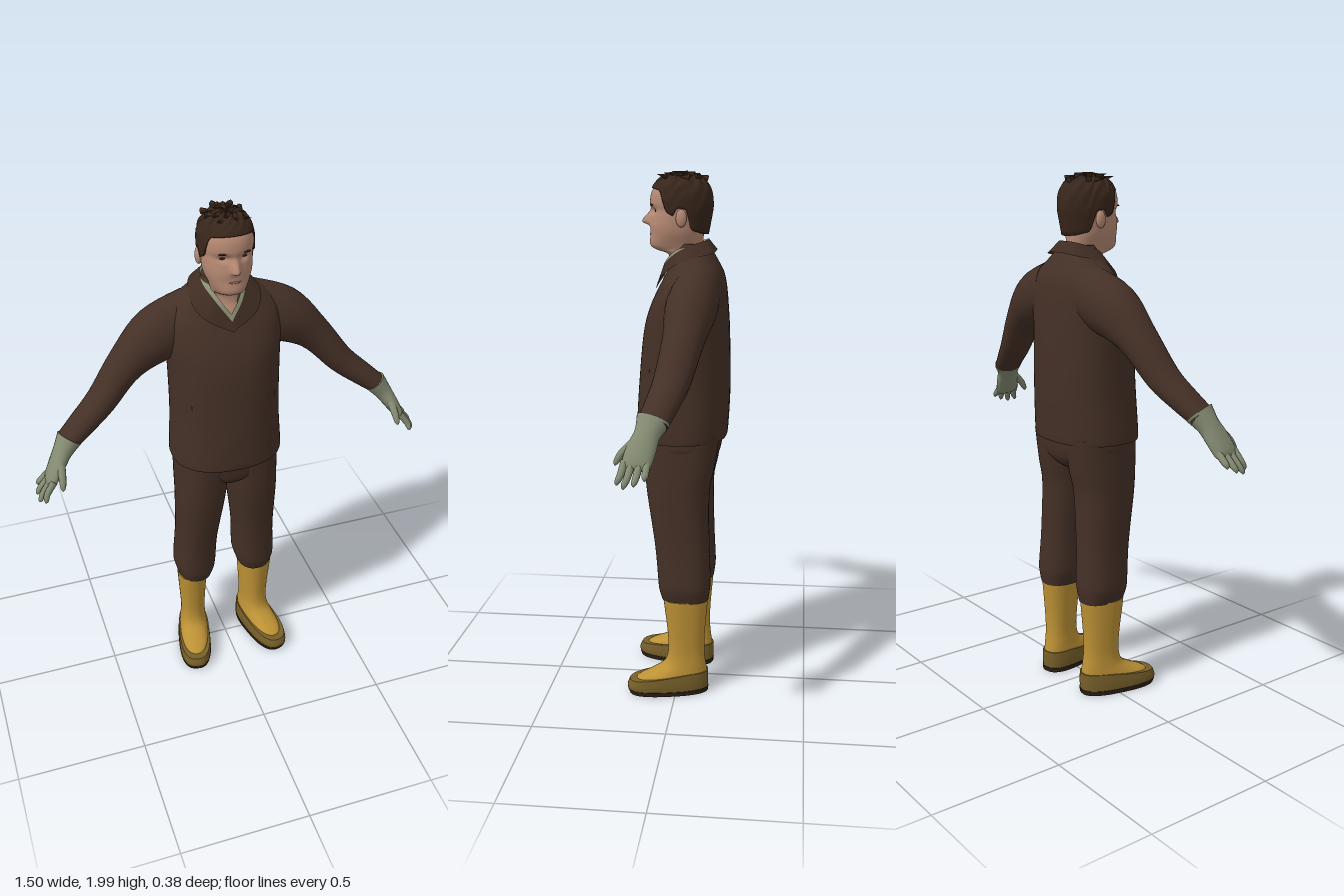
import * as THREE from 'three';

const mat = (name, color, side = THREE.FrontSide) => {
  const m = new THREE.MeshStandardMaterial({ color, side });
  m.name = name;
  return m;
};
const V = (x, y, z) => new THREE.Vector3(x, y, z);
const spow = (c, e) => Math.sign(c) * Math.abs(c) ** e;

// Catmull-Rom smoothing of rows of numbers
function smooth(rows, k) {
  const out = [], at = i => rows[Math.min(rows.length - 1, Math.max(0, i))];
  for (let i = 0; i < rows.length - 1; i++) {
    for (let s = 0; s < k; s++) {
      const t = s / k;
      out.push(rows[i].map((b, c) => {
        const a = at(i - 1)[c], d = at(i + 1)[c], e = at(i + 2)[c];
        return b + 0.5 * t * (d - a + t * (2 * a - 5 * b + 4 * d - e + t * (3 * (b - d) + e - a)));
      }));
    }
  }
  out.push(rows[rows.length - 1]);
  return out;
}

// Skin over closed rings of points, capped at both ends, facing outwards
function loft(rings) {
  const n = rings[0].length, pos = [], idx = [];
  rings.forEach(r => r.forEach(p => pos.push(p.x, p.y, p.z)));
  for (let i = 0; i < rings.length - 1; i++) {
    for (let j = 0; j < n; j++) {
      const a = i * n + j, b = i * n + (j + 1) % n;
      idx.push(a, a + n, b, b, a + n, b + n);
    }
  }
  [rings[0], rings[rings.length - 1]].forEach((r, end) => {
    const base = pos.length / 3, c = V(0, 0, 0);
    r.forEach(p => { pos.push(p.x, p.y, p.z); c.addScaledVector(p, 1 / n); });
    pos.push(c.x, c.y, c.z);
    for (let j = 0; j < n; j++) {
      const a = base + j, b = base + (j + 1) % n;
      if (end) idx.push(a, base + n, b); else idx.push(a, b, base + n);
    }
  });
  const P = i => V(pos[3 * i], pos[3 * i + 1], pos[3 * i + 2]);
  let vol = 0;
  for (let i = 0; i < idx.length; i += 3) vol += P(idx[i]).dot(P(idx[i + 1]).cross(P(idx[i + 2])));
  if (vol < 0) idx.reverse();
  const g = new THREE.BufferGeometry();
  g.setAttribute('position', new THREE.Float32BufferAttribute(pos, 3));
  g.setIndex(idx);
  g.computeVertexNormals();
  return g;
}

// Upright form: rows of [y, x0, x1, zBack, zFront], rule may move each point
function upright(rows, { n = 40, k = 4, p = 2.3, rule } = {}) {
  return loft(smooth(rows, k).map(([y, x0, x1, zb, zf]) => Array.from({ length: n }, (_, j) => {
    const a = j / n * Math.PI * 2;
    const q = V((x0 + x1) / 2 + (x1 - x0) / 2 * spow(Math.cos(a), 2 / p), y,
      (zb + zf) / 2 + (zf - zb) / 2 * spow(Math.sin(a), 2 / p));
    if (rule) rule(q);
    return q;
  })));
}
const sym = rows => rows.map(([y, rx, zb, zf]) => [y, -rx, rx, zb, zf]);

// Limb along a path: rows of [x, y, z, halfHeight, halfDepth]
function limb(rows, n = 28, k = 5) {
  const r = smooth(rows, k), c = r.map(q => V(q[0], q[1], q[2]));
  return loft(r.map((q, i) => {
    const t = c[Math.min(i + 1, c.length - 1)].clone().sub(c[Math.max(i - 1, 0)]).normalize();
    const u = t.clone().cross(V(0, 0, 1)).normalize(), v = u.clone().cross(t);
    return Array.from({ length: n }, (_, j) => {
      const a = j / n * Math.PI * 2;
      return c[i].clone().addScaledVector(u, q[3] * Math.cos(a)).addScaledVector(v, q[4] * Math.sin(a));
    });
  }));
}

// Band around the neck between two half outlines running front to back
function band(inner, outer) {
  const full = h => new THREE.CatmullRomCurve3([...h.map(q => V(...q)),
    ...h.slice(0, -1).reverse().map(q => V(-q[0], q[1], q[2]))]).getPoints(48);
  const a = full(inner), b = full(outer), pos = [], idx = [];
  a.forEach((q, i) => {
    pos.push(...q.toArray(), ...b[i].toArray());
    if (i < 48) idx.push(2 * i, 2 * i + 2, 2 * i + 1, 2 * i + 1, 2 * i + 2, 2 * i + 3);
  });
  const g = new THREE.BufferGeometry();
  g.setAttribute('position', new THREE.Float32BufferAttribute(pos, 3));
  g.setIndex(idx);
  g.computeVertexNormals();
  return g;
}
const blob = (x, y, z, sx, sy, sz) => new THREE.SphereGeometry(1, 16, 12).scale(sx, sy, sz).translate(x, y, z);

export function createModel() {
  const root = new THREE.Group();
  root.name = 'worker';
  const cloth = mat('brown cloth', 0x443026), collarCloth = mat('collar cloth', 0x3f2c22, THREE.DoubleSide);
  const skin = mat('skin', 0xb78a74), hair = mat('hair', 0x38261b), lip = mat('lips', 0x98675a);
  const glove = mat('glove green', 0x848b72), shirt = mat('shirt green', 0x8a8f74, THREE.DoubleSide);
  const boot = mat('boot yellow', 0xbc9135), foot = mat('boot olive', 0x765f29), dark = mat('dark brown', 0x2b1f17);
  const add = (name, g, m) => {
    const mesh = new THREE.Mesh(g, m);
    mesh.name = name;
    root.add(mesh);
  };
  const pair = (name, g, m) => {
    add('left ' + name, g, m);
    const r = g.clone().scale(-1, 1, 1);
    r.setIndex(Array.from(g.index.array).reverse());
    r.computeVertexNormals();
    add('right ' + name, r, m);
  };

  // Jacket
  add('jacket', upright(sym([[1.01, 0.213, -0.178, 0.163], [1.04, 0.214, -0.183, 0.165], [1.2, 0.205, -0.19, 0.156],
    [1.4, 0.208, -0.186, 0.137], [1.5, 0.215, -0.18, 0.112], [1.58, 0.215, -0.172, 0.075], [1.63, 0.185, -0.16, 0.048],
    [1.67, 0.14, -0.14, 0.034], [1.71, 0.092, -0.118, 0.015], [1.735, 0.075, -0.105, 0]]), { n: 56 }), cloth);
  pair('sleeve', limb([[0.1, 1.565, -0.075, 0.11, 0.085], [0.24, 1.515, -0.062, 0.104, 0.092],
    [0.36, 1.425, -0.048, 0.068, 0.074], [0.465, 1.305, -0.022, 0.053, 0.065], [0.55, 1.235, 0.005, 0.045, 0.058],
    [0.612, 1.188, 0.027, 0.038, 0.054]]), cloth);
  pair('pocket', new THREE.BoxGeometry(0.006, 0.1, 0.006).rotateZ(-0.25).rotateY(0.7).translate(0.15, 1.24, 0.103), dark);
  const collarEdge = [[0, 1.6, 0.08], [0.05, 1.67, 0.048], [0.08, 1.72, -0.02], [0.06, 1.745, -0.09], [0, 1.75, -0.105]];
  add('jacket collar', band(collarEdge, [[0, 1.565, 0.094], [0.1, 1.62, 0.06], [0.13, 1.672, -0.01],
    [0.088, 1.702, -0.122], [0, 1.71, -0.135]]), collarCloth);
  add('shirt collar', band([[0, 1.625, 0.07], [0.028, 1.665, 0.056], [0.058, 1.712, 0.01], [0.055, 1.73, -0.082],
    [0, 1.735, -0.094]], collarEdge), shirt);

  // Trousers
  add('trouser seat', upright(sym([[1.04, 0.197, -0.165, 0.132], [0.97, 0.197, -0.158, 0.126],
    [0.92, 0.12, -0.135, 0.115], [0.87, 0.025, -0.06, 0.06]])), cloth);
  pair('trouser leg', upright([[1.03, -0.01, 0.198, -0.16, 0.13], [0.9, 0, 0.2, -0.14, 0.124], [0.8, 0.012, 0.2, -0.122, 0.115],
    [0.6, 0.038, 0.2, -0.124, 0.085], [0.46, 0.044, 0.209, -0.13, 0.072], [0.42, 0.05, 0.206, -0.128, 0.068],
    [0.38, 0.062, 0.195, -0.122, 0.056]], { p: 2.4 }), cloth);

  // Boots, turned slightly outwards
  const place = g => g.rotateY(0.215).translate(0.135, 0, -0.04);
  pair('boot', place(upright(sym([[0.385, 0.061, -0.08, 0.09], [0.37, 0.061, -0.08, 0.09], [0.25, 0.054, -0.07, 0.076],
    [0.17, 0.05, -0.068, 0.073], [0.12, 0.053, -0.073, 0.088], [0.09, 0.057, -0.078, 0.135],
    [0.065, 0.06, -0.08, 0.19], [0.03, 0.062, -0.08, 0.22]]))), boot);
  pair('boot foot', place(upright(sym([[0.015, 0.066, -0.083, 0.23], [0.04, 0.067, -0.084, 0.234], [0.07, 0.064, -0.083, 0.224]]), {
    p: 2.6, rule: q => { q.y *= 1.22 - 1.9 * Math.max(0, q.z); },
  })), foot);
  pair('boot sole', place(upright(sym([[0, 0.066, -0.083, 0.226], [0.018, 0.068, -0.085, 0.233]]), { p: 2.6, k: 1 })), dark);

  // Gloves
  pair('glove', limb([[0.6, 1.2, 0.024, 0.044, 0.059], [0.632, 1.158, 0.04, 0.034, 0.045], [0.658, 1.118, 0.055, 0.028, 0.05],
    [0.684, 1.076, 0.068, 0.022, 0.05], [0.698, 1.056, 0.072, 0.013, 0.042]], 20), glove);
  [[0.108, 0.722, 1.008, 0.128], [0.083, 0.739, 1, 0.104], [0.058, 0.742, 1.01, 0.07], [0.034, 0.733, 1.027, 0.036]].forEach(([z, x, y, tz], i) => {
    pair('finger ' + (i + 1), limb([[0.682, 1.08, z, 0.013, 0.013], [(0.692 + x) / 2 + 0.006, (1.07 + y) / 2, (z + tz) / 2, 0.012, 0.012],
      [x - 0.002, y + 0.01, tz, 0.009, 0.009], [x, y, tz, 0.002, 0.002]], 10, 3), glove);
  });
  pair('thumb', limb([[0.648, 1.135, 0.082, 0.016, 0.016], [0.653, 1.1, 0.12, 0.014, 0.014],
    [0.657, 1.07, 0.14, 0.01, 0.01], [0.659, 1.058, 0.144, 0.002, 0.002]], 10, 3), glove);

  // Head with nose, brow and eye sockets
  const bump = (v, c, w) => Math.exp(-(((v - c) / w) ** 2));
  add('head', upright(sym([[1.6, 0.05, -0.07, 0.066], [1.63, 0.058, -0.08, 0.056], [1.66, 0.062, -0.085, 0.043],
    [1.695, 0.062, -0.085, 0.046], [1.712, 0.058, -0.084, 0.092], [1.73, 0.064, -0.084, 0.113], [1.77, 0.08, -0.086, 0.111],
    [1.8, 0.086, -0.09, 0.112], [1.83, 0.089, -0.1, 0.108], [1.855, 0.09, -0.104, 0.104], [1.88, 0.092, -0.106, 0.112],
    [1.92, 0.09, -0.105, 0.106], [1.955, 0.072, -0.085, 0.082], [1.975, 0.035, -0.045, 0.045]]), {
    n: 96, k: 6, p: 2.2, rule: q => {
      if (q.z < 0.03) return;
      q.z += 0.033 * bump(q.x, 0, 0.014) * bump(q.y, 1.812, q.y < 1.812 ? 0.01 : 0.036);
      q.z -= 0.01 * bump(Math.abs(q.x), 0.036, 0.016) * bump(q.y, 1.853, 0.011);
    },
  }), skin);
  pair('ear', blob(0.093, 1.828, -0.012, 0.012, 0.032, 0.02), skin);
  pair('eye', blob(0.036, 1.853, 0.085, 0.013, 0.005, 0.006), dark);
  pair('eyebrow', blob(0.037, 1.874, 0.1, 0.02, 0.004, 0.007), hair);
  add('mouth', blob(0, 1.768, 0.107, 0.024, 0.005, 0.007), lip);

  // Hair cap whose rim dips at the sideburns and nape
  const rimTable = [[-1, 1.768], [-0.45, 1.785], [-0.25, 1.86], [0.05, 1.865], [0.15, 1.835], [0.38, 1.85], [0.6, 1.925], [1, 1.935]];
  const rim = s => {
    const i = Math.min(rimTable.length - 2, Math.max(0, rimTable.findIndex(r => r[0] >= s) - 1));
    const [a, b] = [rimTable[i], rimTable[i + 1]];
    return THREE.MathUtils.lerp(a[1], b[1], (s - a[0]) / (b[0] - a[0]));
  };
  const rings = [];
  for (let i = -1; i <= 20; i++) {
    rings.push(Array.from({ length: 72 }, (_, j) => {
      const a = j / 72 * Math.PI * 2, s = Math.sin(a), t = Math.max(0, i) / 20;
      const y = rim(s) + (1.988 - rim(s)) * Math.sin(t * Math.PI / 2);
      let r = i < 0 ? 0.84 : Math.max(0.001, 1 - Math.max(0, (y - 1.87) / 0.118) ** 2.7) ** (1 / 2.3);
      if (s < 0) r *= 1 - 0.14 * Math.max(0, (1.86 - y) / 0.09);
      const tuft = i < 2 || i > 19 ? 0 : 0.004 * Math.sin(a * 13 + i) * t;
      return V((0.099 + tuft) * r * Math.cos(a), y + tuft * 1.3, (s > 0 ? 0.117 : 0.122) * r * s);
    }));
  }
  add('hair', loft(rings), hair);
  // Tousled locks across the crown
  for (let i = 0; i < 18; i++) {
    const a = i * 2.4, d = 0.017 * Math.sqrt(i);
    const lock = new THREE.ConeGeometry(0.012, 0.05, 6).rotateX(1.35).rotateY(Math.sin(i * 1.7) * 0.9);
    add('hair lock', lock.translate(d * Math.cos(a), 1.988 - 3.6 * d * d, d * Math.sin(a) * 1.15), hair);
  }
  return root;
}
